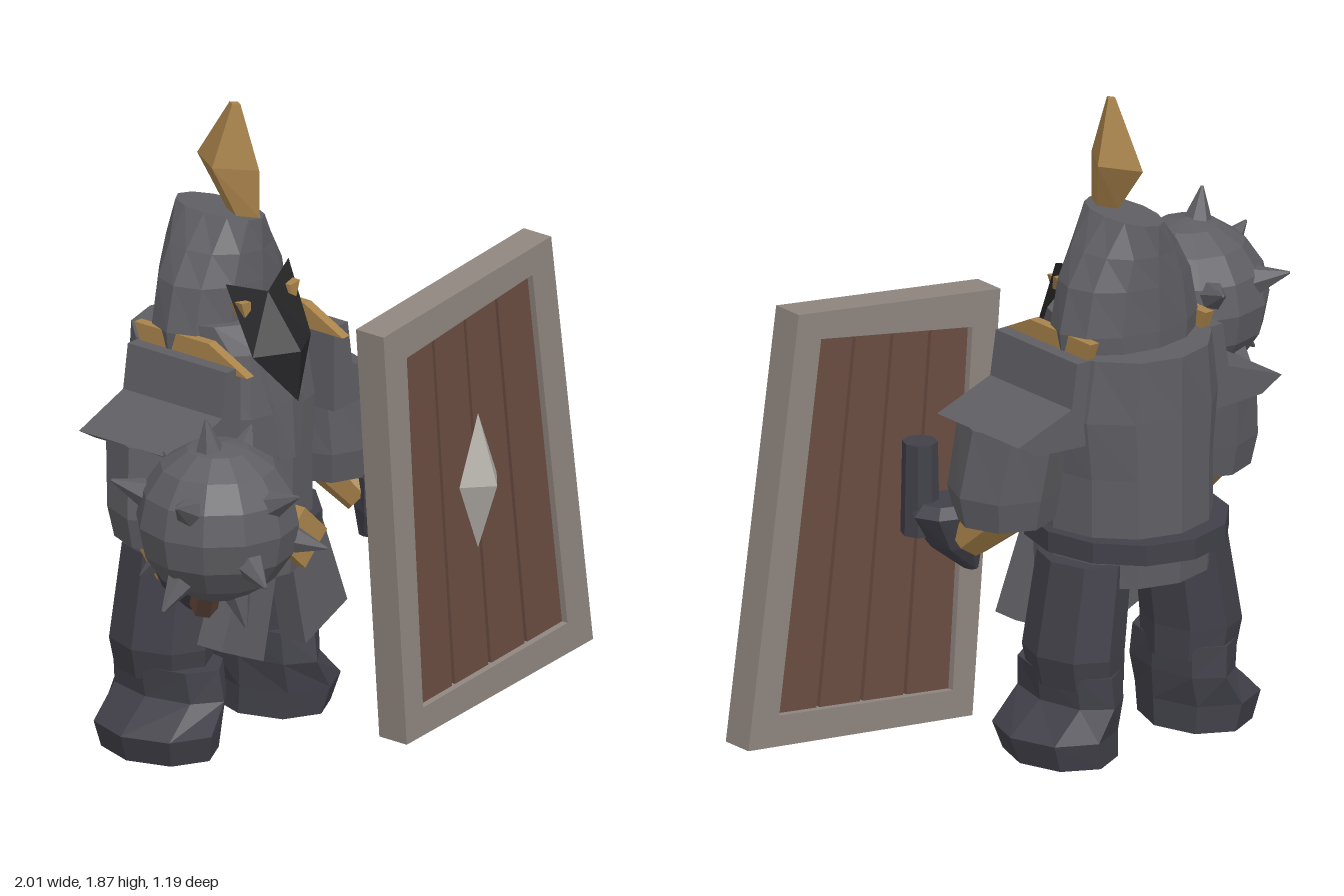
import * as THREE from 'three';

const mat = (color) => new THREE.MeshStandardMaterial({ color, flatShading: true, side: THREE.DoubleSide });

export function createModel() {
  const steel = mat(0x5f5e63), dark = mat(0x42414a), gold = mat(0xa9834b), black = mat(0x252527);
  const wood = mat(0x6a4d42), rim = mat(0x8f857f), silver = mat(0xb0aca5);
  const model = new THREE.Group();

  const add = (parent, name, geometry, material) => {
    const mesh = new THREE.Mesh(geometry, material);
    mesh.name = name;
    parent.add(mesh);
    return mesh;
  };

  // Capped skin over elliptical rings [y, centreX, centreZ, halfX, halfZ]
  const loft = (rings, n) => {
    const pos = [], idx = [];
    rings.forEach(([y, cx, cz, hx, hz]) => {
      for (let j = 0; j < n; j++) {
        const t = (j / n) * Math.PI * 2;
        pos.push(cx + Math.sin(t) * hx, y, cz + Math.cos(t) * hz);
      }
    });
    const last = rings.length - 1;
    for (let j = 0; j < n; j++) {
      const k = (j + 1) % n;
      for (let i = 0; i < last; i++) {
        const a = i * n + j, b = i * n + k;
        idx.push(a, b, a + n, b, b + n, a + n);
      }
      idx.push((last + 1) * n, k, j, (last + 1) * n + 1, last * n + j, last * n + k);
    }
    for (const [y, cx, cz] of [rings[0], rings[last]]) pos.push(cx, y, cz);
    const g = new THREE.BufferGeometry();
    g.setAttribute('position', new THREE.Float32BufferAttribute(pos, 3));
    g.setIndex(idx);
    g.computeVertexNormals();
    return g;
  };

  // Flat outline pulled from z0 to z1
  const slab = (points, z0, z1, hole) => {
    const vec = (p) => p.map(([x, y]) => new THREE.Vector2(x, y));
    const shape = new THREE.Shape(vec(points));
    if (hole) shape.holes.push(new THREE.Path(vec(hole)));
    return new THREE.ExtrudeGeometry(shape, { depth: z1 - z0, bevelEnabled: false }).translate(0, 0, z0);
  };

  // Rod or cone between two points
  const rod = (from, to, r0, r1, sides) => {
    const a = new THREE.Vector3(...from), b = new THREE.Vector3(...to);
    const dir = b.clone().sub(a);
    const g = new THREE.CylinderGeometry(r1, r0, dir.length(), sides);
    g.applyQuaternion(new THREE.Quaternion().setFromUnitVectors(new THREE.Vector3(0, 1, 0), dir.normalize()));
    return g.translate((a.x + b.x) / 2, (a.y + b.y) / 2, (a.z + b.z) / 2);
  };

  const knight = new THREE.Group();
  knight.name = 'knight';
  knight.position.x = -0.03;
  model.add(knight);

  // Trunk
  add(knight, 'torso', loft([
    [0.53, 0, -0.27, 0.25, 0.25], [0.66, 0, -0.27, 0.25, 0.26], [0.85, 0, -0.27, 0.25, 0.26],
    [1.02, 0, -0.27, 0.27, 0.26], [1.2, 0, -0.28, 0.24, 0.25]], 12), steel);
  add(knight, 'belt', loft([[0.62, 0, -0.285, 0.28, 0.305], [0.68, 0, -0.285, 0.28, 0.305]], 12), dark);
  add(knight, 'buckle', slab([[0, 0.56], [0.095, 0.65], [0, 0.74], [-0.095, 0.65]], 0, 0.035), gold);
  add(knight, 'cowl', loft([
    [0.88, 0, -0.13, 0.09, 0.13], [1.05, 0, -0.13, 0.13, 0.12],
    [1.2, 0, -0.17, 0.18, 0.14], [1.28, 0, -0.22, 0.2, 0.14]], 12), steel);

  // Head
  add(knight, 'hood', loft([
    [1.17, 0, -0.275, 0.22, 0.155], [1.25, 0, -0.275, 0.23, 0.158], [1.38, 0, -0.275, 0.2, 0.157],
    [1.47, 0, -0.275, 0.145, 0.155], [1.56, 0, -0.275, 0.07, 0.153]], 12), steel);
  add(knight, 'plume', loft([
    [1.56, 0, -0.19, 0.03, 0.06], [1.7, 0, -0.245, 0.07, 0.113], [1.88, 0, -0.22, 0.012, 0.02]], 4), gold);

  // Left half, mirrored for the right
  for (const s of [1, -1]) {
    const half = new THREE.Group();
    half.name = s > 0 ? 'leftSide' : 'rightSide';
    half.scale.x = s;
    knight.add(half);

    const mask = new THREE.BufferGeometry();
    mask.setAttribute('position', new THREE.Float32BufferAttribute([
      0, 1.35, -0.1, 0.135, 1.4, -0.14, 0.125, 1.2, -0.05, 0, 1.2, 0.02, 0, 1.05, 0.01], 3));
    mask.setIndex([0, 2, 1, 0, 3, 2, 3, 4, 2]);
    mask.computeVertexNormals();
    add(half, 'faceMask', mask, black);
    add(half, 'eye', slab([[0.085, 1.32], [0.11, 1.305], [0.125, 1.35], [0.085, 1.345]], -0.13, -0.09), gold);

    // Collar trim seen from the side as a sloping strip
    const trim = slab([[-0.01, 1.18], [0.13, 1.25], [0.4, 1.25], [0.38, 1.2], [0.13, 1.18]], 0, 0.03);
    add(half, 'collarTrim', trim.rotateY(Math.PI / 2).translate(0.19, 0, 0), gold);

    // Arm
    add(half, 'pauldron', slab([[0.2, 1.2], [0.26, 1.2], [0.28, 1.07], [0.47, 1.0], [0.4, 0.96], [0.2, 0.95]],
      -0.39, -0.03), steel);
    add(half, 'sleeve', loft([
      [0.71, 0.35, -0.18, 0.14, 0.14], [0.8, 0.35, -0.18, 0.16, 0.16], [1.0, 0.33, -0.2, 0.15, 0.17]], 8), steel);
    add(half, 'forearm', rod([0.36, 0.75, -0.19], [0.4, 0.64, -0.08], 0.09, 0.07, 8), gold);
    add(half, 'gauntlet', loft([
      [0.53, 0.37, -0.05, 0.02, 0.03], [0.61, 0.41, -0.03, 0.08, 0.08],
      [0.71, 0.44, -0.03, 0.11, 0.095], [0.74, 0.44, -0.03, 0.08, 0.07]], 8), dark);

    // Skirt flap and leg
    add(half, 'skirtFlap', slab([[0.02, 0.6], [0.09, 0.29], [0.27, 0.37], [0.16, 0.65]], -0.13, -0.04), steel);
    add(half, 'thigh', loft([
      [0.24, 0.2, -0.31, 0.12, 0.15], [0.33, 0.21, -0.31, 0.13, 0.16],
      [0.6, 0.17, -0.31, 0.12, 0.15]], 8), dark);
    add(half, 'boot', loft([
      [0.02, 0.24, -0.29, 0.145, 0.18], [0.1, 0.255, -0.285, 0.16, 0.195],
      [0.19, 0.2, -0.285, 0.11, 0.195], [0.28, 0.205, -0.29, 0.115, 0.185]], 8), dark);
  }
  add(model, 'shieldGrip', rod([0.46, 0.64, 0.02], [0.46, 0.91, 0.02], 0.055, 0.05, 8), dark);

  // Shield: frame, planks with gaps, pointed boss
  const shield = new THREE.Group();
  shield.name = 'shield';
  model.add(shield);
  const tl = [0.2, 1.16], tr = [0.74, 1.25], br = [0.89, 0.17], bl = [0.27, 0.1];
  add(shield, 'shieldFrame',
    slab([[0.1, 1.25], [0.82, 1.34], [1, 0.09], [0.2, 0.01]], 0.11, 0.21, [tl, tr, br, bl]), rim);
  const mix = (a, b, t) => [a[0] + (b[0] - a[0]) * t, a[1] + (b[1] - a[1]) * t];
  for (let i = 0; i < 4; i++) {
    const u = i / 4 + (i > 0 ? 0.01 : 0), v = (i + 1) / 4 - (i < 3 ? 0.01 : 0);
    add(shield, 'plank', slab([mix(tl, tr, u), mix(tl, tr, v), mix(bl, br, v), mix(bl, br, u)], 0.13, 0.19), wood);
  }
  const boss = new THREE.ConeGeometry(1, 0.07, 4).rotateX(Math.PI / 2).scale(0.08, 0.2, 1);
  add(shield, 'shieldBoss', boss, silver).position.set(0.5, 0.71, 0.25);

  // Spiked mace
  const mace = new THREE.Group();
  mace.name = 'mace';
  mace.position.set(-0.73, 0.98, 0.31);
  model.add(mace);
  add(mace, 'maceHead', new THREE.SphereGeometry(0.23, 12, 8), steel);
  add(mace, 'maceHandle', rod([0.08, -0.14, -0.08], [0.235, -0.39, -0.25], 0.04, 0.04, 6), wood);
  const spikes = [
    [-0.05, 0.3, 0], [0.01, 0.13, 0.28], [-0.11, -0.1, 0.26], [0.24, 0.19, -0.08], [-0.27, 0.13, 0.08],
    [-0.24, -0.21, 0], [0.28, -0.12, 0.04], [0.18, -0.08, 0.23], [-0.16, 0.1, -0.25], [0.1, 0.1, -0.28],
    [-0.06, -0.2, -0.22], [0, -0.29, 0.1]];
  for (const d of spikes) {
    const v = new THREE.Vector3(...d).normalize();
    add(mace, 'spike', rod(v.clone().multiplyScalar(0.2).toArray(), v.clone().multiplyScalar(0.315).toArray(),
      0.048, 0.004, 6), steel);
  }
  return model;
}
